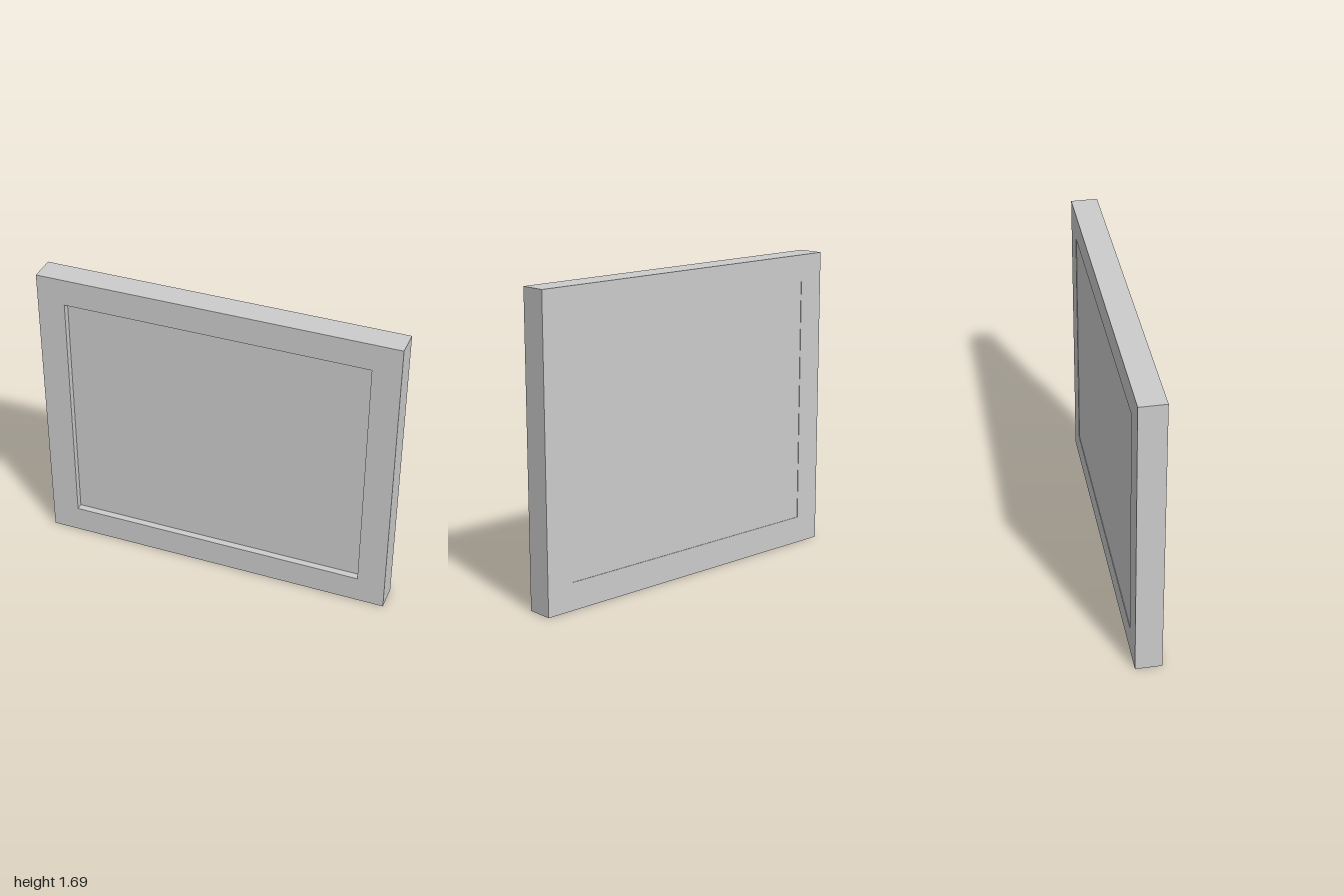
import * as THREE from 'three';

const W = 1, H = 1.69, D = 0.073;           // half width, height, half depth
const IX = 0.845, IY0 = 0.153, IY1 = 1.538; // opening

// Flat mitred bar, extruded through the frame depth
function bar(name, corners, material) {
  const shape = new THREE.Shape(corners.map(([x, y]) => new THREE.Vector2(x, y)));
  const geometry = new THREE.ExtrudeGeometry(shape, { depth: 2 * D, bevelEnabled: false });
  geometry.translate(0, 0, -D);
  const mesh = new THREE.Mesh(geometry, material);
  mesh.name = name;
  return mesh;
}

export function createModel() {
  const model = new THREE.Group();
  model.name = 'pictureFrame';
  const grey = new THREE.MeshStandardMaterial({ color: 0xcccccc });
  grey.name = 'plain grey';

  // Four mitred frame bars, each between neighbouring corners
  const outer = [[-W, 0], [W, 0], [W, H], [-W, H]];
  const inner = [[-IX, IY0], [IX, IY0], [IX, IY1], [-IX, IY1]];
  ['bottomBar', 'leftBar', 'topBar', 'rightBar'].forEach((name, i) => {
    const j = (i + 1) % 4;
    model.add(bar(name, [outer[i], outer[j], inner[j], inner[i]], grey));
  });

  // Panel set back from the front, almost flush with the back
  const front = 0.035, back = -D + 0.003;
  const panel = new THREE.Mesh(new THREE.BoxGeometry(2 * IX, IY1 - IY0, front - back), grey);
  panel.name = 'panel';
  panel.position.set(0, (IY0 + IY1) / 2, (front + back) / 2);
  model.add(panel);

  return model;
}
